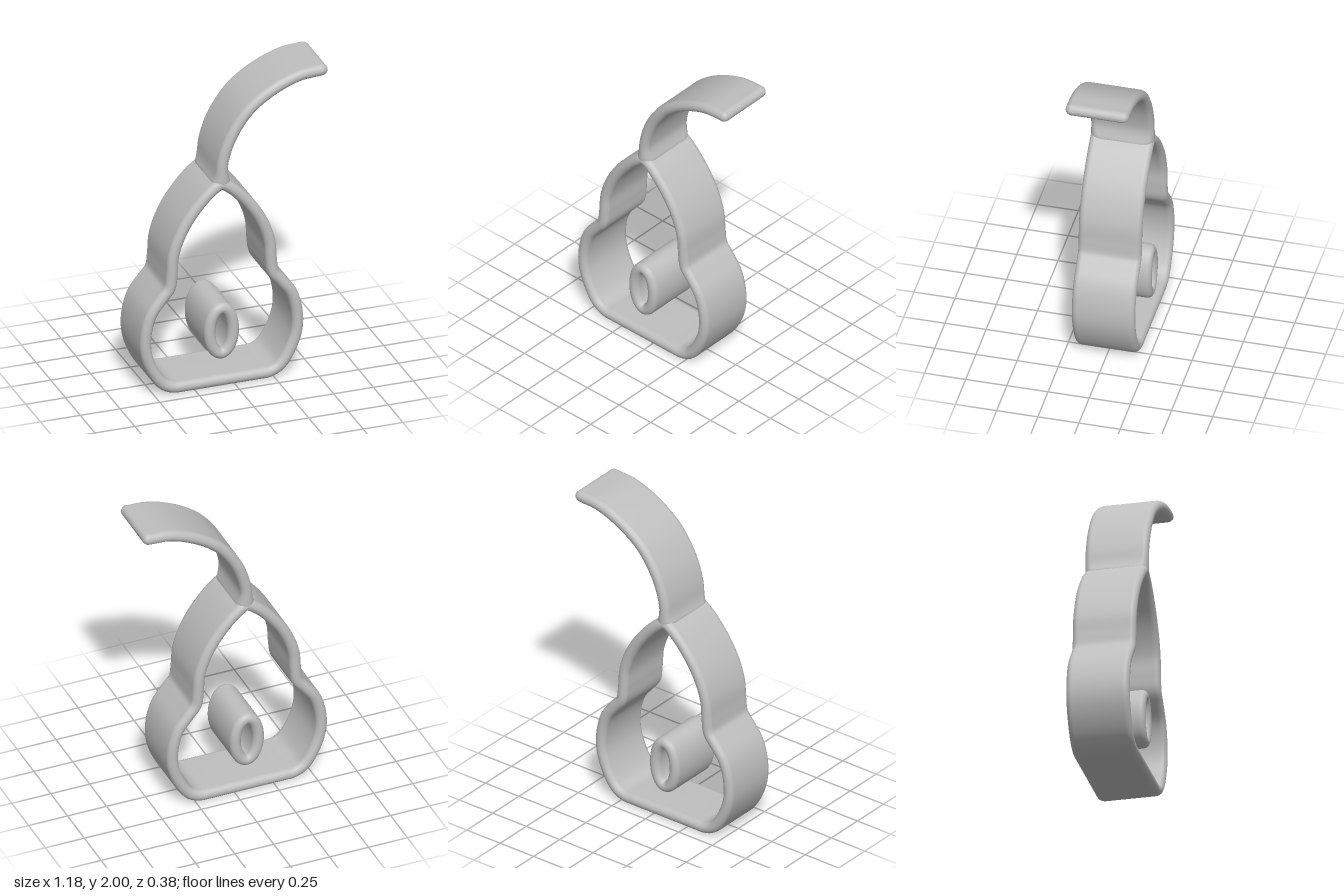
import * as THREE from 'three';

const HALF_DEPTH = 0.192, R = 0.036, AXIS = -0.08;
const v = (x, y) => new THREE.Vector3(x, y, 0);

// Sweeps an upright pill section (flat sides, rounded front and back rims) along a path in the xy plane.
function band(curve, steps, closed, radiusAt = () => R) {
  const arc = 8, ring = 2 * (arc + 1), rows = [];
  for (let i = 0; i < steps + (closed ? 0 : 1); i++) {
    const t = i / steps;
    rows.push({ p: curve.getPointAt(t), d: curve.getTangentAt(t), r: radiusAt(t), k: 1 });
  }
  // rounded ends for an open band
  if (!closed) {
    const first = rows[0], last = rows[rows.length - 1];
    for (let i = 1; i <= 6; i++) {
      const a = (i / 6) * Math.PI / 2, k = Math.max(Math.cos(a), 0.001);
      rows.push({ ...last, k, p: last.p.clone().addScaledVector(last.d, last.r * Math.sin(a)) });
      rows.unshift({ ...first, k, p: first.p.clone().addScaledVector(first.d, -first.r * Math.sin(a)) });
    }
  }
  const pos = [], index = [];
  for (const { p, d, r, k } of rows) {
    for (let j = 0; j < ring; j++) {
      const back = j > arc;
      const a = ((back ? j - 1 : j) / arc) * Math.PI;
      const n = r * k * Math.cos(a);
      const z = (back ? -1 : 1) * (HALF_DEPTH - r) + r * k * Math.sin(a);
      pos.push(p.x - d.y * n, p.y + d.x * n, z);
    }
  }
  const count = rows.length;
  for (let i = 0; i < (closed ? count : count - 1); i++) {
    for (let j = 0; j < ring; j++) {
      const a = i * ring + j, b = i * ring + (j + 1) % ring;
      const c = ((i + 1) % count) * ring + j, e = ((i + 1) % count) * ring + (j + 1) % ring;
      index.push(a, b, c, b, e, c);
    }
  }
  const g = new THREE.BufferGeometry();
  g.setAttribute('position', new THREE.Float32BufferAttribute(pos, 3));
  g.setIndex(index);
  g.computeVertexNormals();
  return g;
}

export function createModel() {
  const grey = new THREE.MeshStandardMaterial({ color: 0xbfbfbf });
  grey.name = 'light grey';
  const model = new THREE.Group();
  const add = (name, geometry) => {
    const mesh = new THREE.Mesh(geometry, grey);
    mesh.name = name;
    model.add(mesh);
  };

  // pear outline: one half from base to tip, then mirrored
  const half = [
    [0.1, 0.037], [0.24, 0.037], [0.3, 0.039], [0.365, 0.07], [0.428, 0.16], [0.473, 0.29],
    [0.473, 0.42], [0.438, 0.54], [0.37, 0.632], [0.325, 0.69], [0.312, 0.78], [0.302, 0.9],
    [0.262, 1.02], [0.2, 1.13], [0.1, 1.25], [0.035, 1.304],
  ];
  const outline = [
    ...half.map(([x, y]) => v(AXIS + x, y)),
    v(AXIS, 1.322),
    ...half.slice().reverse().map(([x, y]) => v(AXIS - x, y)),
  ];
  add('pearOutline', band(new THREE.CatmullRomCurve3(outline, true), 180, true));

  // curved stem, flared where it meets the outline
  const stem = [
    [-0.077, 1.335], [-0.073, 1.45], [-0.037, 1.577], [0.017, 1.68], [0.1, 1.785],
    [0.245, 1.887], [0.41, 1.952], [0.55, 1.965],
  ].map(([x, y]) => v(x, y));
  add('stem', band(new THREE.CatmullRomCurve3(stem), 60, false,
    (t) => R + 0.022 * Math.max(0, 1 - t / 0.1) ** 2));

  // hollow seed
  const seed = [];
  for (let i = 0; i < 24; i++) {
    const a = (i / 24) * Math.PI * 2;
    seed.push(v(AXIS + 0.074 * Math.cos(a), 0.36 + 0.147 * Math.sin(a)));
  }
  add('seed', band(new THREE.CatmullRomCurve3(seed, true), 64, true));

  return model;
}
